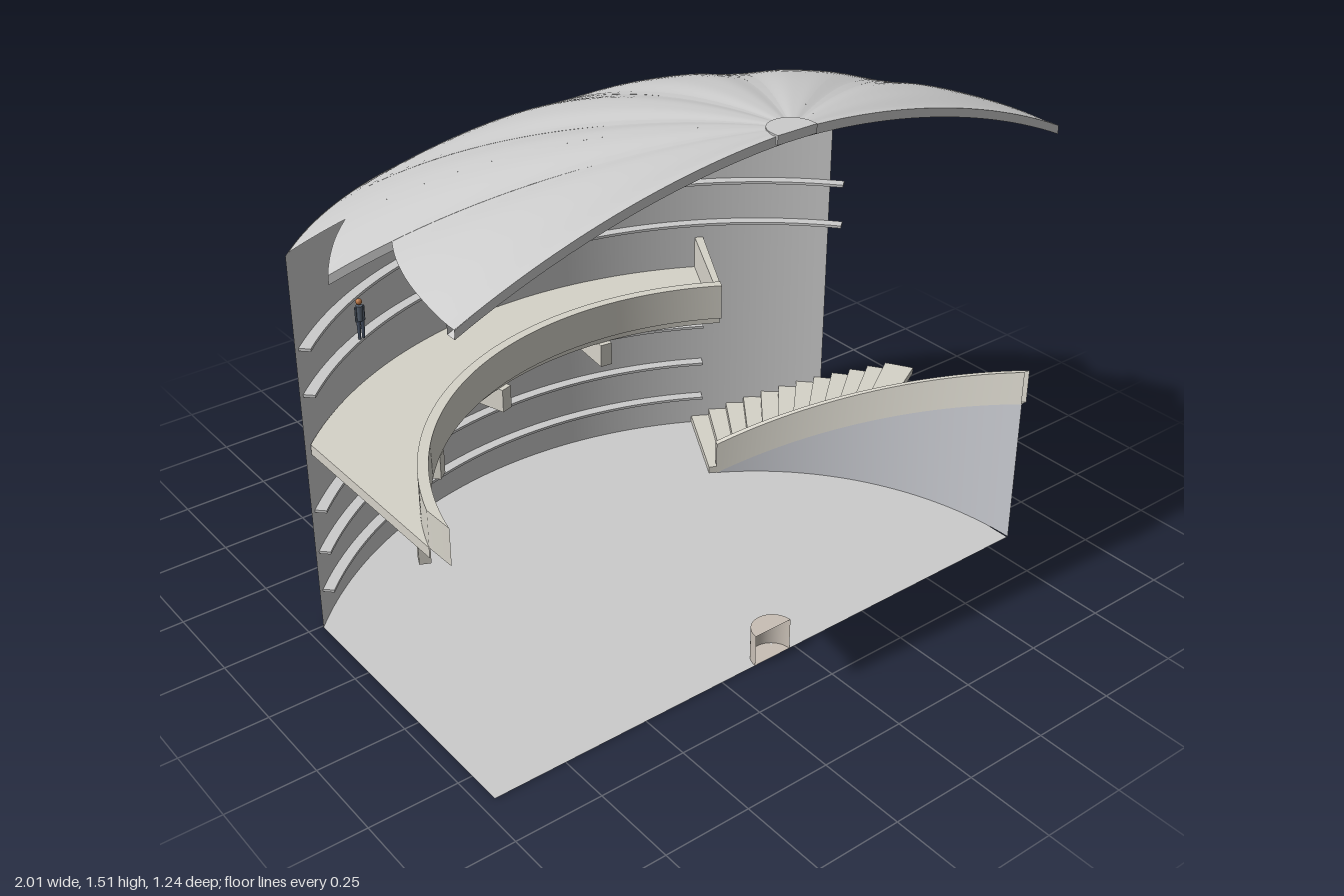
import * as THREE from 'three';
import { toCreasedNormals } from 'three/addons/utils/BufferGeometryUtils.js';

const R = 1.22;            // wall radius
const DOME = 2.1;          // sphere radius of the roof
const TOP = 1.513;         // roof apex height
const rad = (d) => d * Math.PI / 180;
const material = (color = 0xcccccc) =>
  new THREE.MeshStandardMaterial({ color, side: THREE.DoubleSide, roughness: 0.9 });
const grey = material();
const cream = material(0xd6d3c9);
const bluish = material(0xc6c8ce);
const clay = material(0xc8bfb5);

// Point at radius r, angle a (degrees from +x towards the back) and height y
const polar = (r, a, y) => new THREE.Vector3(r * Math.cos(rad(a)), y, -r * Math.sin(rad(a)));
const domeY = (r) => TOP - DOME + Math.sqrt(DOME * DOME - r * r);

function add(parent, name, geometry, mat = grey) {
  const mesh = new THREE.Mesh(geometry, mat);
  mesh.name = name;
  parent.add(mesh);
  return mesh;
}

// Grid surface from a rule f(u, v) -> Vector3
function surface(nu, nv, f) {
  const g = new THREE.PlaneGeometry(1, 1, nu, nv);
  const p = g.attributes.position;
  for (let i = 0; i < p.count; i++) {
    const q = f(p.getX(i) + 0.5, p.getY(i) + 0.5);
    p.setXYZ(i, q.x, q.y, q.z);
  }
  g.computeVertexNormals();
  return g;
}

// Ring sector slab; the inner and outer arcs may end at different angles
function sector(r0, r1, a0, a1, y, h, a1Outer = a1) {
  const s = new THREE.Shape();
  s.absarc(0, 0, r1, rad(a0), rad(a1Outer), false);
  s.absarc(0, 0, r0, rad(a1), rad(a0), true);
  const g = new THREE.ExtrudeGeometry(s, { depth: h, bevelEnabled: false, curveSegments: 48 });
  g.rotateX(-Math.PI / 2);
  g.translate(0, y, 0);
  return toCreasedNormals(g, rad(30));
}

// Rectangular bar swept along a path; path(t) -> {r, a, y}, section in (r, y)
function sweep(path, w, h, n) {
  const corners = [[0, 0], [w, 0], [w, h], [0, h], [0, 0]];
  const g = surface(n, 4, (u, v) => {
    const [dr, dy] = corners[Math.round(v * 4)];
    const c = path(u);
    return polar(c.r + dr, c.a, c.y + dy);
  });
  return toCreasedNormals(g, rad(35));
}

export function createModel() {
  const model = new THREE.Group();
  model.name = 'cutawayRotunda';
  const hall = new THREE.Group();
  hall.name = 'hall';
  hall.position.set(-0.077, 0, 0.6);
  model.add(hall);

  // Floor: straight front and sides, curved back
  const A0 = 42, A1 = 136.3;
  const floor = new THREE.Shape();
  floor.moveTo(R * Math.cos(rad(A1)), 0);
  floor.lineTo(R * Math.cos(rad(A0)), 0);
  floor.absarc(0, 0, R, rad(A0), rad(A1), false);
  add(hall, 'floor', new THREE.ShapeGeometry(floor, 64).rotateX(-Math.PI / 2));

  // Curved back wall
  add(hall, 'backWall', surface(64, 1, (u, v) => polar(R, A0 + (A1 - A0) * u, v * 1.125)));

  // Thin ledges around the inside of the wall
  for (const [y, a] of [[0.845, 40], [0.71, 40], [0.357, 60], [0.225, 60], [0.1, 60]])
    add(hall, 'wallLedge', sector(1.188, R + 0.001, a, 135, y, 0.008));

  // Dome roof in sectors of stepped radius, dipping softly along the ribs
  const roof = new THREE.Group();
  roof.name = 'roof';
  hall.add(roof);
  for (const [a, b, r] of [[0, 22.5, 0.92], [22.5, 37.5, 1.07], [37.5, 135, R], [135, 150, 1.07], [150, 180, 0.92]])
    add(roof, 'roofPanel', surface(Math.round((b - a) / 1.5), 28, (u, v) => {
      const ang = a + (b - a) * u, rr = r * Math.max(v, 0.001);
      const dip = 0.012 * Math.sin(Math.PI * rr / R) * Math.cos(rad(6 * ang)) ** 4;
      return polar(rr, ang, domeY(rr) - dip);
    }));

  // Ribs under the roof
  const ribCorners = [[-1, 0], [1, 0], [1, 1], [-1, 1], [-1, 0]];
  for (const [a, r] of [[1, 0.94], [30, 1.1], [60, R], [90, R], [120, R], [150, 1.07], [179, 0.92]]) {
    const g = surface(24, 4, (u, v) => {
      const [side, down] = ribCorners[Math.round(v * 4)];
      const rr = 0.03 + (r - 0.03) * u;
      const dip = 0.011 * Math.sin(Math.PI * rr / R);
      const q = polar(rr, a, domeY(rr) - dip - 0.024 * down);
      const across = polar(0.015 * side, a + 90, 0);
      return q.add(across);
    });
    add(roof, 'roofRib', toCreasedNormals(g, rad(35)));
  }

  // Hub where the ribs meet
  const hub = new THREE.CylinderGeometry(0.06, 0.06, 0.024, 24, 1, false, Math.PI / 2, Math.PI);
  add(roof, 'roofHub', hub).position.y = 1.503;
  add(roof, 'roofHubFace', new THREE.BoxGeometry(0.12, 0.024, 0.03)).position.set(0, 1.503, 0.005);

  // Balcony: slab, curved parapet, end panel and brackets
  const balcony = new THREE.Group();
  balcony.name = 'balcony';
  hall.add(balcony);
  add(balcony, 'balconySlab', sector(0.9, R - 0.002, 60, 161.5, 0.53, 0.03, 134.4), cream);
  add(balcony, 'balconyParapet', sector(0.872, 0.9, 60, 167.5, 0.56, 0.107, 161.5), cream);
  add(balcony, 'balconyEndPanel', sector(0.9, R - 0.002, 60, 61.2, 0.56, 0.1), cream);
  for (const [a, len] of [[155.4, 0.03], [131, 0.15], [107, 0.15], [83, 0.15]]) {
    const b = add(balcony, 'balconyBracket', new THREE.BoxGeometry(len, 0.07, 0.036), cream);
    b.position.copy(polar(0.885 + len / 2, a, 0.495));
    b.rotation.y = rad(a);
  }

  // Spiral ramp: tall curved wall with a parapet rising along its top
  const rampY = (a) => 0.45 * (1 - a / 60);
  add(hall, 'rampWall', surface(40, 1, (u, v) => polar(0.91, 60 * u, v * rampY(60 * u))), bluish);
  add(hall, 'rampParapet', sweep((u) => ({ r: 0.908, a: 60 * u, y: rampY(60 * u) }), 0.02, 0.103, 40), cream);

  // Stairs rising between the ramp wall and the back wall
  for (let i = 0; i < 12; i++) {
    const a = 28.3 + 2.63 * i;
    add(hall, 'stairTread', sector(0.91, R - 0.001, a, a + 4.2, 0.23 - i * 0.0208, 0.021), cream);
  }

  // Half drum on the floor at the centre
  const drum = new THREE.CylinderGeometry(0.06, 0.06, 0.095, 24, 1, false, Math.PI / 2, Math.PI);
  add(hall, 'floorDrum', drum, clay).position.y = 0.0475;

  // Small standing figure on the upper ledge
  const figure = new THREE.Group();
  figure.name = 'figure';
  figure.position.copy(polar(1.19, 120, 0.72));
  hall.add(figure);
  for (const s of [-1, 1])
    add(figure, 'leg', new THREE.CylinderGeometry(0.006, 0.004, 0.055, 8), material(0x4a5568))
      .position.set(s * 0.006, 0.0275, 0);
  add(figure, 'torso', new THREE.CylinderGeometry(0.01, 0.008, 0.045, 8), material(0x55606e)).position.y = 0.077;
  for (const s of [-1, 1])
    add(figure, 'arm', new THREE.CylinderGeometry(0.003, 0.003, 0.045, 6), material(0x55606e))
      .position.set(s * 0.012, 0.075, 0);
  add(figure, 'head', new THREE.SphereGeometry(0.009, 10, 8), material(0xb5713f)).position.y = 0.111;

  return model;
}
